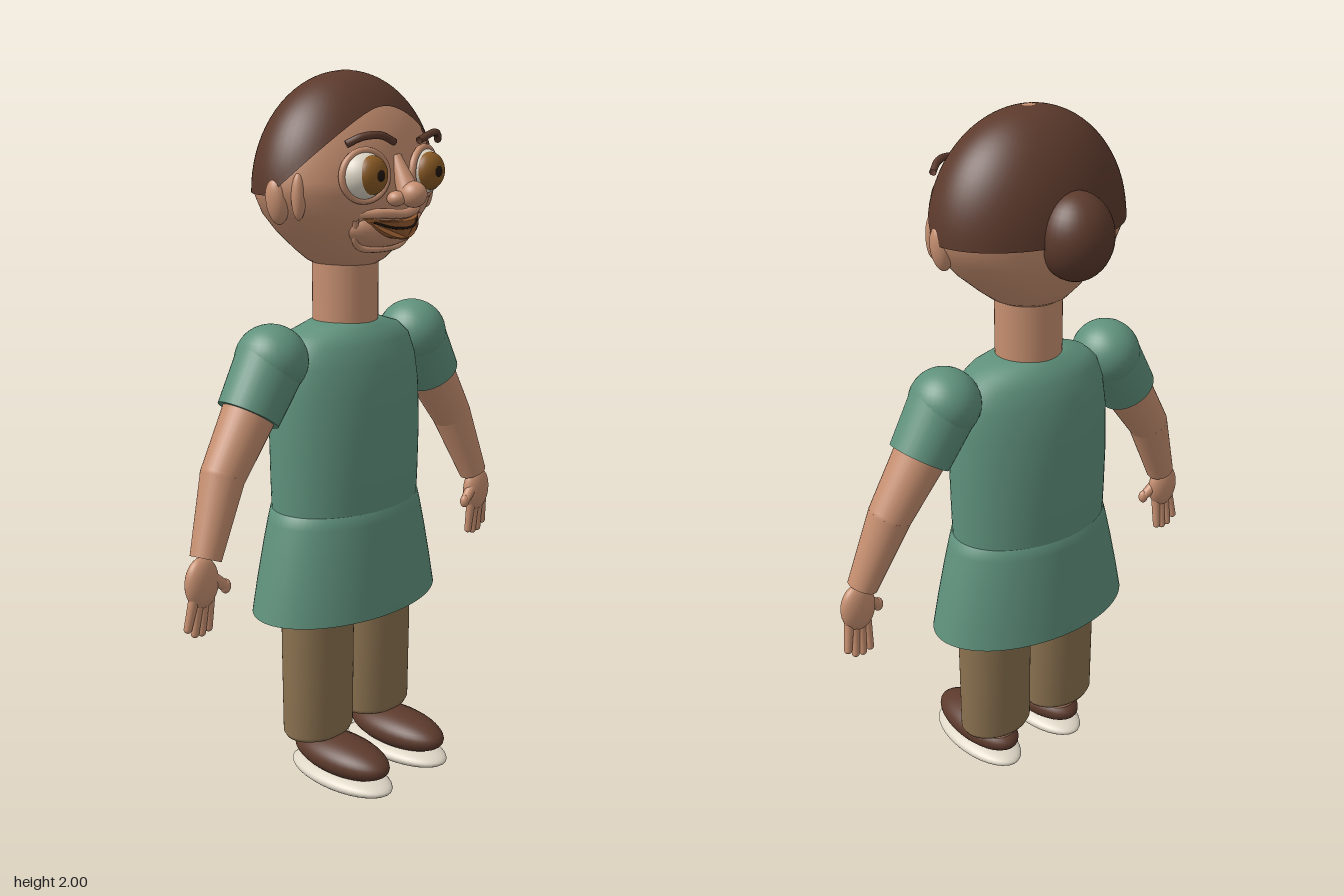
import * as THREE from 'three';

const mat = (name, color, side = THREE.FrontSide) => {
  const m = new THREE.MeshStandardMaterial({ color, side });
  m.name = name;
  return m;
};

export function createModel() {
  const skin = mat('skin', 0xc68f70);
  const hairMat = mat('dark brown', 0x5c3a2c, THREE.DoubleSide);
  const cloth = mat('green cloth', 0x5f917c, THREE.DoubleSide);
  const khaki = mat('khaki', 0x8b7250);
  const cream = mat('cream', 0xddd5c5);
  const amber = mat('amber iris', 0x8a5a24);
  const black = mat('pupil', 0x20140c);
  const lipMat = mat('lips', 0x91592f);

  const root = new THREE.Group();
  root.name = 'figure';
  const V = (x, y, z) => new THREE.Vector3(x, y, z);

  const add = (name, geo, material, parent = root) => {
    const m = new THREE.Mesh(geo, material);
    m.name = name;
    parent.add(m);
    return m;
  };
  const ball = (name, material, pos, rad, parent = root) => {
    const m = add(name, new THREE.SphereGeometry(1, 32, 20), material, parent);
    m.position.set(...pos);
    m.scale.set(...rad);
    return m;
  };
  // Tapered round limb between two points
  const limb = (name, material, a, b, ra, rb, parent = root) => {
    const d = b.clone().sub(a);
    const m = add(name, new THREE.CylinderGeometry(rb, ra, d.length(), 32), material, parent);
    m.position.copy(a).addScaledVector(d, 0.5);
    m.quaternion.setFromUnitVectors(V(0, 1, 0), d.normalize());
    return m;
  };
  const tube = (name, material, pts, r, parent = root) =>
    add(name, new THREE.TubeGeometry(new THREE.CatmullRomCurve3(pts), 32, r, 8), material, parent);

  // Closed rings from point(row, angle), joined bottom to top
  const loft = (rows, point, n = 64) => {
    const pos = [], idx = [];
    for (let i = 0; i < rows; i++) {
      for (let j = 0; j < n; j++) {
        pos.push(...point(i, (j / n) * Math.PI * 2));
        if (i === rows - 1) continue;
        const a = i * n + j, b = i * n + ((j + 1) % n);
        idx.push(a, b, b + n, a, b + n, a + n);
      }
    }
    const g = new THREE.BufferGeometry();
    g.setAttribute('position', new THREE.Float32BufferAttribute(pos, 3));
    g.setIndex(idx);
    g.computeVertexNormals();
    return g;
  };
  // Elliptical rings given as [y, rx, rz]
  const rings = (list) => loft(list.length, (i, a) => {
    const [y, rx, rz] = list[i];
    return [rx * Math.sin(a), y, rz * Math.cos(a)];
  });

  // Head: tapered jaw below a domed skull
  const headRings = [[1.48, 0.001, 0.001], [1.485, 0.07, 0.07], [1.505, 0.11, 0.105], [1.535, 0.15, 0.13],
    [1.585, 0.21, 0.16], [1.635, 0.255, 0.185]];
  for (let k = 0; k <= 14; k++) {
    const t = (k / 14) * Math.PI / 2;
    const c = Math.max(Math.cos(t), 0.001);
    headRings.push([1.69 + 0.305 * Math.sin(t), 0.283 * c, 0.197 * c]);
  }
  add('head', rings(headRings), skin);

  // Hair cap with a hairline that rises to the forehead
  add('hair', loft(20, (i, a) => {
    const rise = 0.22 * Math.pow(Math.max(Math.cos(a), 0), 1.3);
    const t0 = Math.asin(rise / 0.31);
    const t = t0 + (Math.PI / 2 - t0) * (i / 19) * 0.999;
    return [0.289 * Math.cos(t) * Math.sin(a), 1.69 + 0.31 * Math.sin(t), 0.203 * Math.cos(t) * Math.cos(a)];
  }), hairMat);
  ball('crown spot', skin, [0, 1.997, 0], [0.022, 0.004, 0.018]);
  ball('hair bun', hairMat, [0, 1.705, -0.19], [0.1, 0.115, 0.098]);

  const neck = add('neck', new THREE.CylinderGeometry(0.095, 0.095, 0.2, 40), skin);
  neck.position.y = 1.41;
  neck.scale.z = 0.92;

  // Face details, mirrored
  for (const s of [1, -1]) {
    const face = new THREE.Group();
    face.name = s > 0 ? 'leftFace' : 'rightFace';
    root.add(face);
    ball('ear', skin, [s * 0.268, 1.675, 0.015], [0.026, 0.06, 0.032], face).rotation.z = -s * 0.15;
    ball('ear front', skin, [s * 0.25, 1.69, 0.075], [0.02, 0.06, 0.018], face);
    ball('eyeball', cream, [s * 0.115, 1.74, 0.165], [0.066, 0.062, 0.062], face);
    ball('iris', amber, [s * 0.113, 1.742, 0.199], [0.05, 0.05, 0.035], face);
    ball('pupil', black, [s * 0.113, 1.742, 0.219], [0.022, 0.022, 0.018], face);
    const rim = add('eyelid rim', new THREE.TorusGeometry(0.068, 0.01, 10, 40), skin, face);
    rim.position.set(s * 0.115, 1.74, 0.178);
    rim.rotation.y = s * 0.25;
    rim.scale.y = 0.93;
    const brow = tube('eyebrow', hairMat,
      [V(s * 0.048, 1.823, 0.205), V(s * 0.1, 1.841, 0.205), V(s * 0.145, 1.838, 0.185), V(s * 0.178, 1.82, 0.16)],
      0.01, face);
    brow.position.z = 0.012;
    ball('nostril', skin, [s * 0.036, 1.68, 0.215], [0.024, 0.02, 0.025], face);
  }
  limb('nose bridge', skin, V(0, 1.685, 0.23), V(0, 1.785, 0.18), 0.032, 0.014);
  ball('nose tip', skin, [0, 1.69, 0.243], [0.035, 0.034, 0.036]);

  // Mouth
  ball('muzzle', skin, [0, 1.605, 0.13], [0.13, 0.06, 0.07]);
  const lip = new THREE.Shape();
  lip.moveTo(-0.1, 1.628);
  lip.quadraticCurveTo(0, 1.608, 0.1, 1.628);
  lip.quadraticCurveTo(0.06, 1.578, 0, 1.576);
  lip.quadraticCurveTo(-0.06, 1.578, -0.1, 1.628);
  const lipGeo = new THREE.ExtrudeGeometry(lip, {
    depth: 0.03, bevelEnabled: true, bevelSize: 0.004, bevelThickness: 0.008, bevelSegments: 3, curveSegments: 16,
  });
  const lp = lipGeo.attributes.position;
  for (let i = 0; i < lp.count; i++) lp.setZ(i, lp.getZ(i) + 0.18 - 4.5 * lp.getX(i) ** 2);
  lipGeo.computeVertexNormals();
  add('lips', lipGeo, lipMat);
  tube('mouth line', black, [V(-0.085, 1.62, 0.182), V(-0.04, 1.605, 0.21), V(0, 1.602, 0.217), V(0.04, 1.605, 0.21),
    V(0.085, 1.62, 0.182)], 0.003);
  tube('upper lip fold', skin, [V(-0.125, 1.64, 0.145), V(-0.06, 1.642, 0.19), V(0, 1.638, 0.208),
    V(0.06, 1.642, 0.19), V(0.125, 1.64, 0.145)], 0.013);
  tube('chin fold', skin, [V(-0.125, 1.63, 0.155), V(-0.09, 1.555, 0.13), V(0, 1.543, 0.148),
    V(0.09, 1.555, 0.13), V(0.125, 1.63, 0.155)], 0.009);

  // Tunic: bodice and flared skirt
  add('bodice', rings([[0.8, 0.243, 0.166], [0.9, 0.245, 0.17], [1.03, 0.247, 0.172], [1.15, 0.246, 0.165],
    [1.23, 0.238, 0.15], [1.285, 0.22, 0.132], [1.315, 0.185, 0.112], [1.335, 0.12, 0.09], [1.342, 0.09, 0.08],
    [1.342, 0.001, 0.001]]), cloth);
  add('skirt', rings([[0.525, 0.318, 0.2], [0.62, 0.298, 0.192], [0.72, 0.275, 0.182], [0.79, 0.257, 0.174],
    [0.822, 0.248, 0.169], [0.826, 0.235, 0.16]]), cloth);

  for (const s of [1, -1]) {
    // Sleeve and arm
    const arm = new THREE.Group();
    arm.name = s > 0 ? 'leftArm' : 'rightArm';
    root.add(arm);
    const shoulder = V(s * 0.282, 1.262, 0), cuff = V(s * 0.368, 1.128, 0);
    const elbow = V(s * 0.465, 0.985, 0.005), wrist = V(s * 0.55, 0.785, 0.028);
    ball('puff shoulder', cloth, shoulder.toArray(), [0.096, 0.096, 0.102], arm);
    limb('sleeve', cloth, shoulder, cuff, 0.096, 0.086, arm);
    limb('upper arm', skin, V(s * 0.355, 1.148, 0), elbow, 0.074, 0.06, arm);
    ball('elbow', skin, elbow.toArray(), [0.06, 0.06, 0.06], arm);
    limb('forearm', skin, elbow, wrist, 0.06, 0.042, arm);

    // Hand
    ball('palm', skin, [s * 0.567, 0.725, 0.03], [0.052, 0.07, 0.03], arm);
    for (let k = 0; k < 4; k++) {
      const tip = V(s * (0.542 + k * 0.023), [0.592, 0.585, 0.588, 0.607][k], 0.022);
      limb('finger', skin, V(s * (0.542 + k * 0.018), 0.69, 0.032), tip, 0.014, 0.011, arm);
      ball('fingertip', skin, tip.toArray(), [0.011, 0.011, 0.011], arm);
    }
    const thumbTip = V(s * 0.497, 0.7, 0.042);
    limb('thumb', skin, V(s * 0.54, 0.735, 0.034), thumbTip, 0.018, 0.014, arm);
    ball('thumb tip', skin, thumbTip.toArray(), [0.015, 0.02, 0.014], arm);

    // Trouser leg and shoe
    const leg = new THREE.Group();
    leg.name = s > 0 ? 'leftLeg' : 'rightLeg';
    root.add(leg);
    const trouser = add('trouser leg', rings([[0.142, 0.001, 0.001], [0.142, 0.106, 0.08], [0.155, 0.114, 0.086],
      [0.4, 0.115, 0.09], [0.7, 0.115, 0.093]]), khaki, leg);
    trouser.position.set(s * 0.122, 0, 0.008);
    limb('ankle', skin, V(s * 0.12, 0.08, -0.002), V(s * 0.12, 0.16, -0.002), 0.05, 0.05, leg);
    ball('shoe', hairMat, [s * 0.12, 0.092, 0.1], [0.083, 0.054, 0.172], leg);
    ball('sole', cream, [s * 0.12, 0.032, 0.1], [0.088, 0.032, 0.183], leg);
  }
  return root;
}
